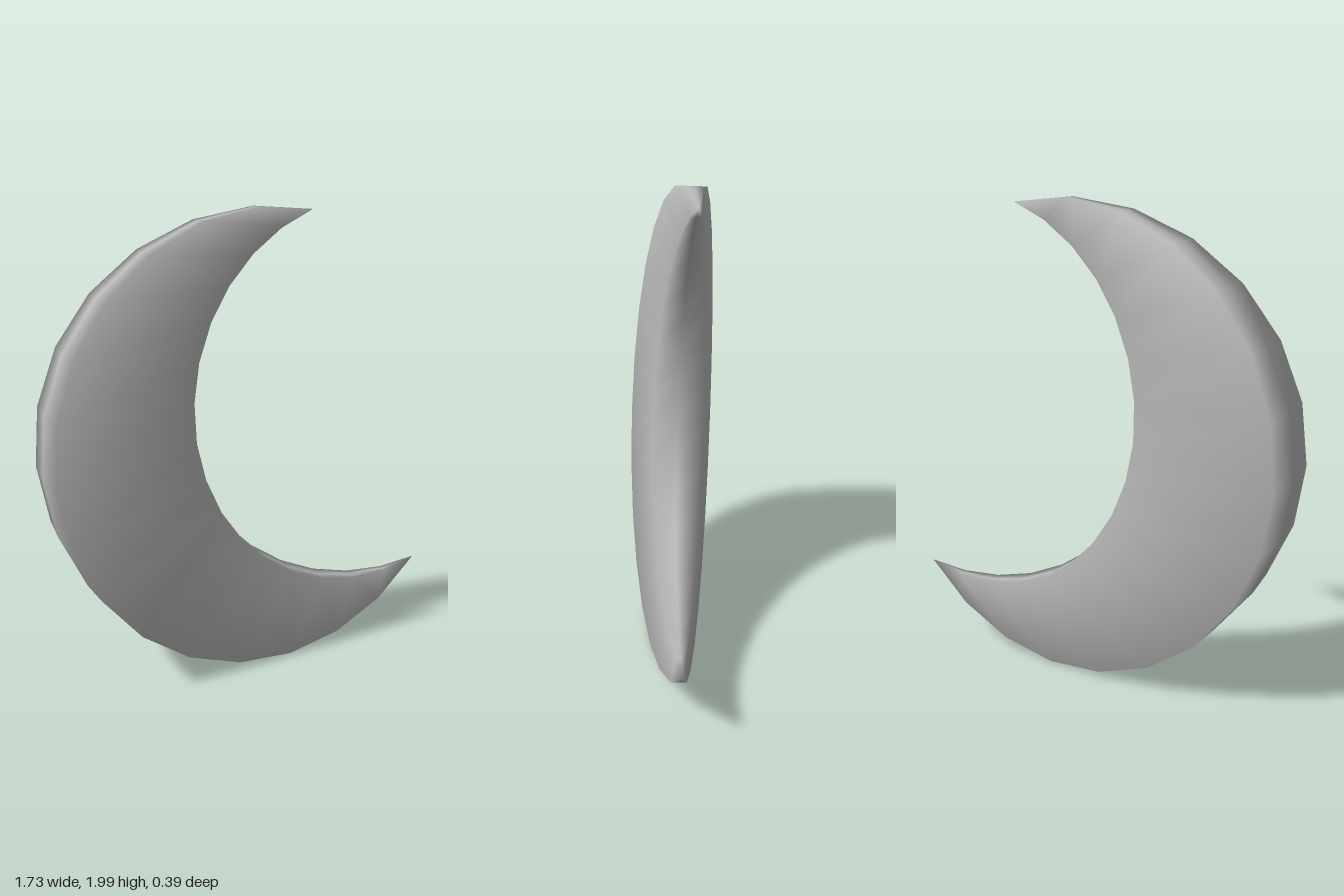
import * as THREE from 'three';
import { mergeVertices } from 'three/addons/utils/BufferGeometryUtils.js';

const SEGMENTS = 16;          // steps from tip to tip
const SWEEP = Math.PI / 12;   // wedge angle about the line through the tips
const SWEEP_STEPS = 2;
const HALF_CHORD = 0.861;     // half the distance between the tips
const BACK_Z = -0.192;

// Point on an arc through both tips: [distance from the tip line, position along it]
function arcPoint(sagitta, t) {
  const r = (HALF_CHORD ** 2 + sagitta ** 2) / (2 * sagitta);
  const half = Math.acos((r - sagitta) / r);
  const a = half * (1 - 2 * t);
  return [sagitta - r + r * Math.cos(a), r * Math.sin(a)];
}

// Crescent swung about its tip line, making a wedge that is thickest in the middle
function crescentWedge() {
  const tilt = 0.312;
  const along = new THREE.Vector3(-Math.sin(tilt), Math.cos(tilt), 0);
  const out = new THREE.Vector3(-Math.cos(tilt), -Math.sin(tilt), 0);
  const middle = new THREE.Vector3(0.597, 1.15, BACK_Z);

  const place = ([u, v], angle) => middle.clone()
    .addScaledVector(along, v)
    .addScaledVector(out, u * Math.cos(angle))
    .add(new THREE.Vector3(0, 0, u * Math.sin(angle)));

  // Closed cross-sections: outer edge back to front, then inner edge front to back
  const points = [];
  const ring = 2 * (SWEEP_STEPS + 1);
  for (let i = 0; i <= SEGMENTS; i++) {
    const outer = arcPoint(1.491, i / SEGMENTS);
    const inner = arcPoint(0.855, i / SEGMENTS);
    for (let j = 0; j <= SWEEP_STEPS; j++) points.push(place(outer, SWEEP * j / SWEEP_STEPS));
    for (let j = SWEEP_STEPS; j >= 0; j--) points.push(place(inner, SWEEP * j / SWEEP_STEPS));
  }

  const index = [];
  for (let i = 0; i < SEGMENTS; i++) {
    for (let j = 0; j < ring; j++) {
      const k = (j + 1) % ring;
      const a = i * ring + j, c = i * ring + k;
      const b = a + ring, d = c + ring;
      if (i > 0) index.push(a, b, c);              // sections close to a point at each tip
      if (i < SEGMENTS - 1) index.push(b, d, c);
    }
  }

  const geometry = new THREE.BufferGeometry().setFromPoints(points);
  geometry.setIndex(index);
  const merged = mergeVertices(geometry, 1e-4);
  merged.computeVertexNormals();
  return merged;
}

export function createModel() {
  const grey = new THREE.MeshStandardMaterial({ color: 0xb8b8b8 });
  grey.name = 'grey';

  const crescent = new THREE.Mesh(crescentWedge(), grey);
  crescent.name = 'crescent';

  const model = new THREE.Group();
  model.name = 'crescentMoon';
  model.add(crescent);
  return model;
}
